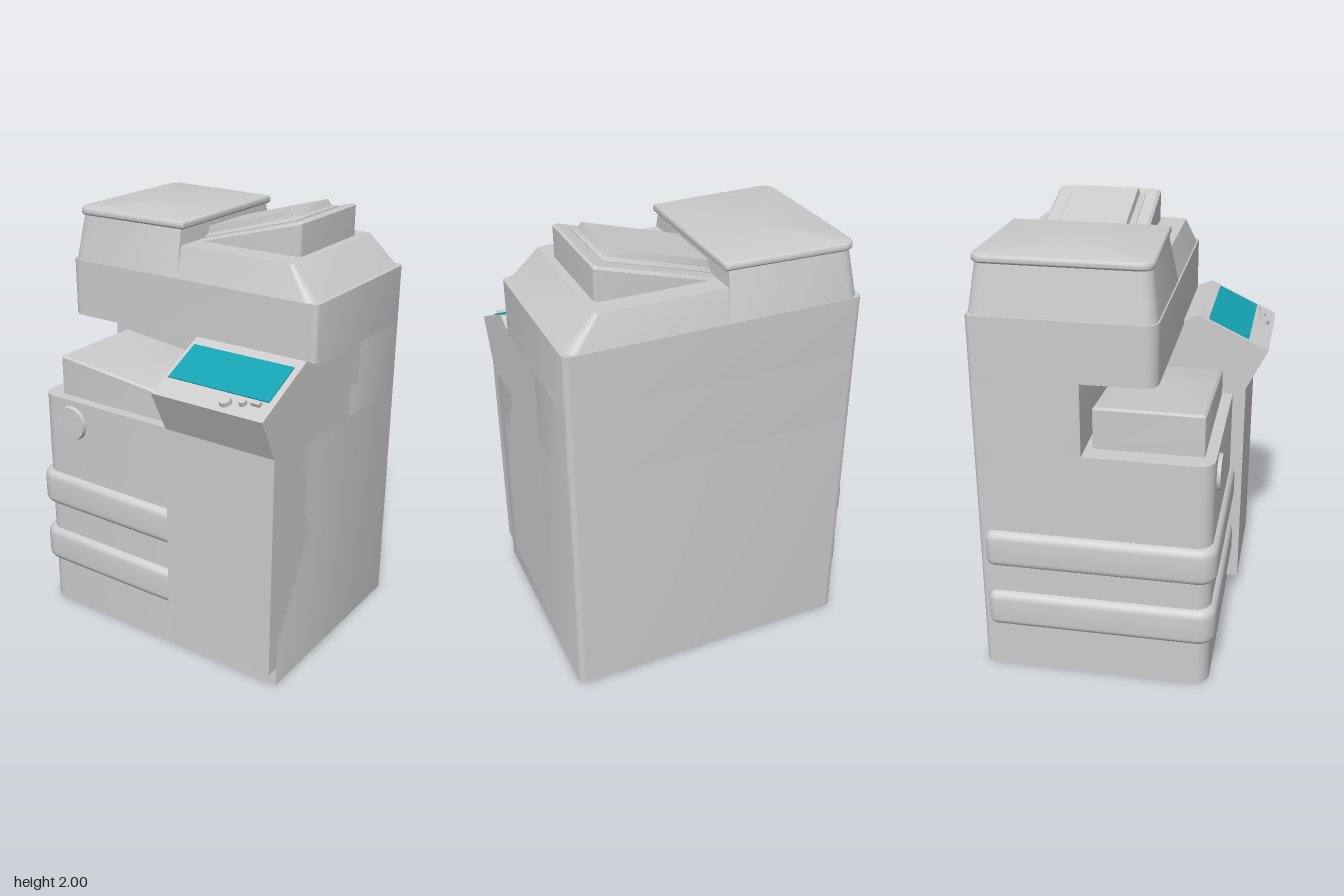
import * as THREE from 'three';
import { toCreasedNormals } from 'three/addons/utils/BufferGeometryUtils.js';

const grey = new THREE.MeshStandardMaterial({ color: 0xcccccc });
const teal = new THREE.MeshStandardMaterial({ color: 0x14a2b2 });

// Rounded rectangle cross-section; r holds radii for corners (+x+z, -x+z, -x-z, +x-z).
function ring(x0, x1, z0, z1, r, y, map) {
  const radii = Array.isArray(r) ? r : [r, r, r, r];
  const corners = [[x1, z1, -1, -1], [x0, z1, 1, -1], [x0, z0, 1, 1], [x1, z0, -1, 1]];
  const pts = [];
  corners.forEach(([cx, cz, sx, sz], c) => {
    for (let i = 0; i <= 6; i++) {
      const a = (c + i / 6) * Math.PI / 2, q = radii[c];
      const p = new THREE.Vector3(cx + sx * q + q * Math.cos(a), 0, cz + sz * q + q * Math.sin(a));
      p.y = typeof y === 'function' ? y(p.x, p.z) : y;
      if (map) map(p);
      pts.push(p);
    }
  });
  return pts;
}

// Skin a stack of rings from bottom to top and close both ends.
function loft(rings) {
  const n = rings[0].length, pos = [];
  const tri = (...ps) => ps.forEach(p => pos.push(p.x, p.y, p.z));
  const centre = pts => pts.reduce((s, p) => s.add(p), new THREE.Vector3()).divideScalar(n);
  const low = rings[0], high = rings[rings.length - 1];
  const cl = centre(low), ch = centre(high);
  for (let i = 0; i < n; i++) {
    const j = (i + 1) % n;
    for (let k = 0; k < rings.length - 1; k++) {
      const a = rings[k], b = rings[k + 1];
      tri(a[i], b[i], a[j]);
      tri(a[j], b[i], b[j]);
    }
    tri(cl, low[i], low[j]);
    tri(ch, high[j], high[i]);
  }
  const g = new THREE.BufferGeometry();
  g.setAttribute('position', new THREE.Float32BufferAttribute(pos, 3));
  return toCreasedNormals(g, 0.6);
}

// Slab with rounded top and bottom edges of radius b.
function softSlab(x0, x1, z0, z1, r, y0, y1, b, map) {
  const rings = [];
  const add = (a, y, s) => {
    const d = b * (1 - Math.cos(a)), rr = r.map(v => Math.max(v - d, 0.002));
    rings.push(ring(x0 + d, x1 - d, z0 + d, z1 - d, rr, y + s * b * Math.sin(a), map));
  };
  for (let i = 6; i >= 0; i--) add(i / 6 * Math.PI / 2, y0 + b, -1);
  for (let i = 0; i <= 6; i++) add(i / 6 * Math.PI / 2, y1 - b, 1);
  return loft(rings);
}

export function createModel() {
  const group = new THREE.Group();
  const add = (name, geometry, material = grey, parent = group) => {
    const m = new THREE.Mesh(geometry, material);
    m.name = name;
    parent.add(m);
    return m;
  };
  const prism = (x0, x1, z0, z1, r, y0, y1) =>
    loft([ring(x0, x1, z0, z1, r, y0), ring(x0, x1, z0, z1, r, y1)]);
  const s = 0.003;

  // Cabinet: lower body, column beside the output recess, overhanging upper body
  add('lowerBody', prism(-0.44, 0.59, -0.645, 0.675, [0.03, s, 0.07, 0.03], 0, 1.1));
  add('column', prism(0.12, 0.59, -0.645, 0.675, [0.03, s, s, 0.03], 1.1, 1.43));
  add('upperBody', prism(-0.2, 0.59, -0.645, 0.675, [0.03, 0.03, 0.06, 0.03], 1.43, 1.695));

  // Front section with the sloping control panel
  const profile = new THREE.Shape([
    [-0.5, 0.09], [0.2, 0.09], [0.2, 1.45], [-0.2, 1.45], [-0.27, 1.48], [-0.597, 1.325], [-0.5, 1.13],
  ].map(p => new THREE.Vector2(...p)));
  const front = new THREE.ExtrudeGeometry(profile, { depth: 0.545, bevelEnabled: false });
  add('controlSection', front.translate(0, 0, 0.13));

  // Screen and buttons lie in the tilted frame of the panel
  const panel = new THREE.Group();
  panel.name = 'controlPanel';
  const tilt = Math.atan2(0.155, 0.327);
  panel.position.set(-0.597, 1.325, 0);
  panel.rotation.z = tilt;
  group.add(panel);
  const along = x => (x + 0.597) / Math.cos(tilt);
  add('screen', new THREE.BoxGeometry(0.208, 0.008, 0.495), teal, panel)
    .position.set(along(-0.408), 0.001, 0.398);
  [[-0.55, 0.472, 0.028], [-0.535, 0.545, 0.018]].forEach(([x, z, r]) => {
    add('roundButton', toCreasedNormals(new THREE.CylinderGeometry(r * 0.9, r, 0.03, 24), 0.6), grey, panel)
      .position.set(along(x), 0.005, z);
  });
  add('smallButton', new THREE.BoxGeometry(0.02, 0.024, 0.042), grey, panel)
    .position.set(along(-0.525), 0.005, 0.602);

  // Paper drawers wrapping the rear corner
  for (const y of [0.22, 0.53])
    add('drawer', softSlab(-0.465, 0.56, -0.675, 0.16, [s, s, 0.08, 0.04], y, y + 0.18, 0.04));

  // Round knob on the side
  const knob = new THREE.CylinderGeometry(0.078, 0.09, 0.04, 40).rotateZ(Math.PI / 2);
  add('sideKnob', toCreasedNormals(knob, 0.6)).position.set(-0.437, 0.99, -0.46);

  // Output tray in the recess, falling gently toward the control section
  const trayTop = (x, z) => 1.29 - 0.1 * (z + 0.555);
  add('outputTray', loft([
    ring(-0.39, 0.09, -0.555, 0.13, 0.008, 1.09),
    ring(-0.39, 0.09, -0.555, 0.13, 0.008, (x, z) => trayTop(x, z) - 0.01),
    ring(-0.38, 0.08, -0.545, 0.12, 0.008, trayTop),
  ]));

  // Lid: low front part, taller rear part narrowing toward the front, cover slab
  const narrow = p => { p.x = 0.195 + (p.x - 0.195) * (1 - 0.055 * (p.z + 0.6) / 0.58); };
  add('lidFront', loft([
    ring(-0.195, 0.588, -0.5, 0.66, [0.05, 0.05, s, s], 1.69),
    ring(-0.152, 0.545, -0.5, 0.525, [0.02, 0.02, s, s], 1.83),
  ]));
  add('lidRear', loft([
    ring(-0.195, 0.588, -0.635, -0.03, [s, s, 0.06, 0.06], 1.69),
    ring(-0.17, 0.56, -0.6, -0.04, [s, s, 0.06, 0.06], 1.9, narrow),
  ]));
  add('rearCover', softSlab(-0.18, 0.57, -0.61, -0.02, [s, s, 0.06, 0.06], 1.9, 1.937, 0.014, narrow));

  // Sheet feeder: sloping wedge with a raised centre
  const slope = (x, z) => 1.835 + 0.284 * (z + 0.02);
  add('feederWedge', loft([
    ring(-0.033, 0.455, -0.04, 0.49, [0.015, 0.015, s, s], 1.82),
    ring(-0.033, 0.455, -0.04, 0.49, [0.015, 0.015, s, s], (x, z) => slope(x, z) - 0.012),
    ring(-0.022, 0.444, -0.04, 0.479, [0.015, 0.015, s, s], slope),
  ]));
  add('feederPlate', loft([
    ring(0.03, 0.392, -0.04, 0.43, s, (x, z) => slope(x, z) - 0.01),
    ring(0.03, 0.392, -0.04, 0.43, s, (x, z) => slope(x, z) + 0.004),
    ring(0.055, 0.367, -0.04, 0.41, s, (x, z) => slope(x, z) + 0.015),
    ring(0.06, 0.362, -0.04, 0.395, s, (x, z) => slope(x, z) + 0.046),
  ]));

  return group;
}
